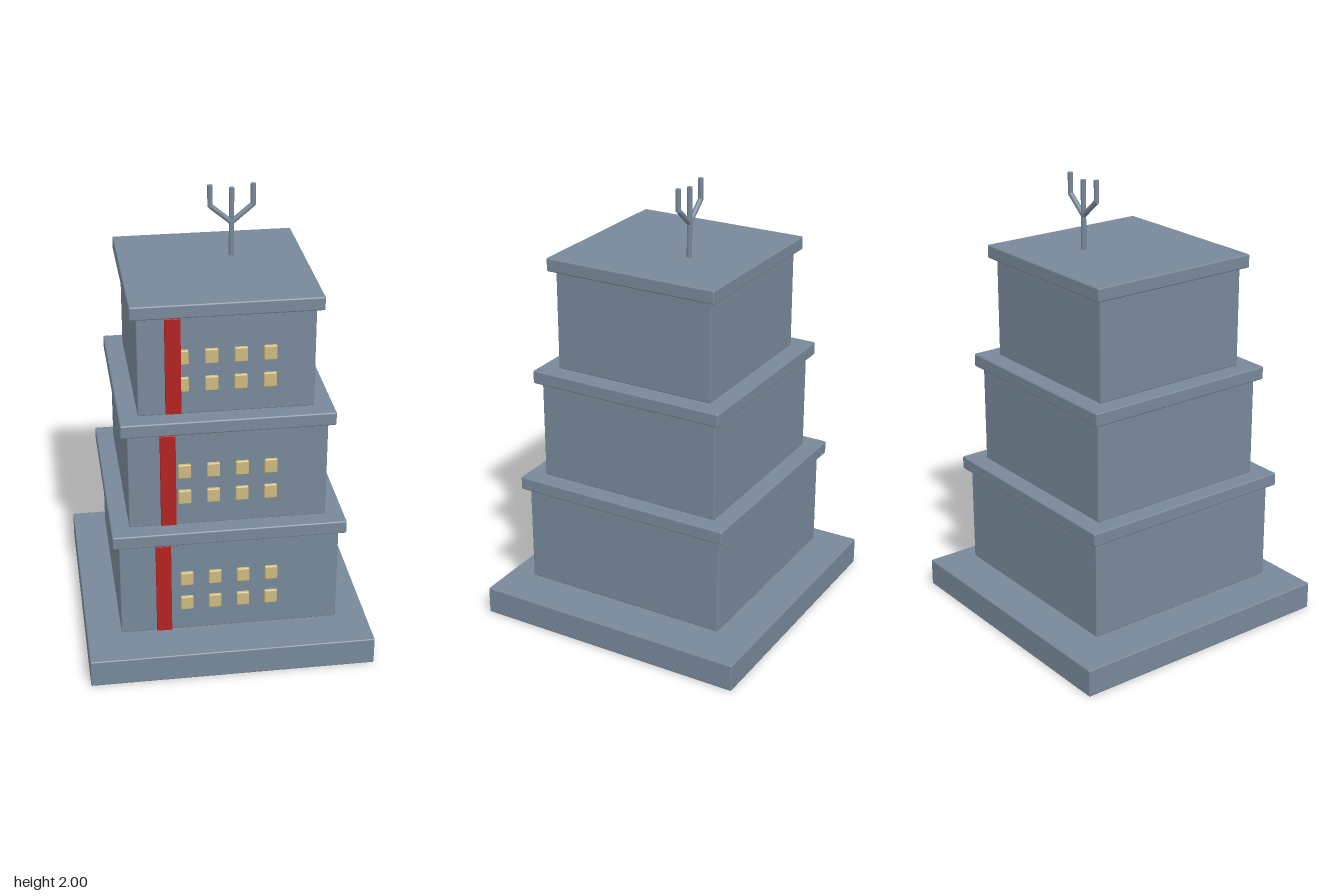
import * as THREE from 'three';
import { RoundedBoxGeometry } from 'three/addons/geometries/RoundedBoxGeometry.js';

function material(name, color) {
  const m = new THREE.MeshStandardMaterial({ color });
  m.name = name;
  return m;
}

export function createModel() {
  const slate = material('slate', 0x778899);
  const red = material('red', 0xb22222);
  const cream = material('cream', 0xccb980);
  const tower = new THREE.Group();
  tower.name = 'tower';

  // Softly rounded box given by its centre x and z, its bottom and its size
  function box(parent, name, mat, [w, h, d], x, bottom, z, radius) {
    const mesh = new THREE.Mesh(new RoundedBoxGeometry(w, h, d, 2, radius), mat);
    mesh.name = name;
    mesh.position.set(x, bottom + h / 2, z);
    parent.add(mesh);
  }

  box(tower, 'base', slate, [1.256, 0.125, 1.256], 0, 0, 0, 0.006);

  // Three shrinking storeys, each with a roof slab, a banner and two rows of windows
  const storeys = [
    { y: 0.163, half: 0.478, bannerX: -0.29 },
    { y: 0.668, half: 0.427, bannerX: -0.259 },
    { y: 1.174, half: 0.374, bannerX: -0.227 },
  ];
  storeys.forEach(({ y, half, bannerX }, i) => {
    const storey = new THREE.Group();
    storey.name = `storey${i + 1}`;
    tower.add(storey);
    box(storey, 'walls', slate, [half * 2, 0.447, half * 2], 0, y, 0, 0.005);
    const slab = (half + 0.029) * 2;
    box(storey, 'roofSlab', slate, [slab, 0.06, slab], 0, y + 0.447, 0, 0.007);
    box(storey, 'banner', red, [0.066, 0.432, 0.016], bannerX, y + 0.015, half + 0.021, 0.002);
    for (let row = 0; row < 2; row++) {
      for (let col = 0; col < 4; col++) {
        box(storey, 'window', cream, [0.056, 0.066, 0.018],
          -0.188 + col * 0.123, y + 0.109 + row * 0.124, half + 0.011, 0.006);
      }
    }
  });

  // Three-pronged antenna on the roof
  const antenna = new THREE.Group();
  antenna.name = 'antenna';
  antenna.position.set(0.09, 0, -0.112);
  tower.add(antenna);
  function rod(name, x1, y1, x2, y2) {
    const a = new THREE.Vector3(x1, y1, 0);
    const dir = new THREE.Vector3(x2, y2, 0).sub(a);
    const mesh = new THREE.Mesh(new THREE.CylinderGeometry(0.0115, 0.0115, dir.length(), 16), slate);
    mesh.name = name;
    mesh.position.copy(a).addScaledVector(dir, 0.5);
    mesh.quaternion.setFromUnitVectors(new THREE.Vector3(0, 1, 0), dir.normalize());
    antenna.add(mesh);
  }
  rod('mast', 0, 1.675, 0, 1.985);
  for (const side of [-1, 1]) {
    rod('arm', 0, 1.83, side * 0.095, 1.91);
    rod('prong', side * 0.093, 1.905, side * 0.093, 2);
  }
  return tower;
}
